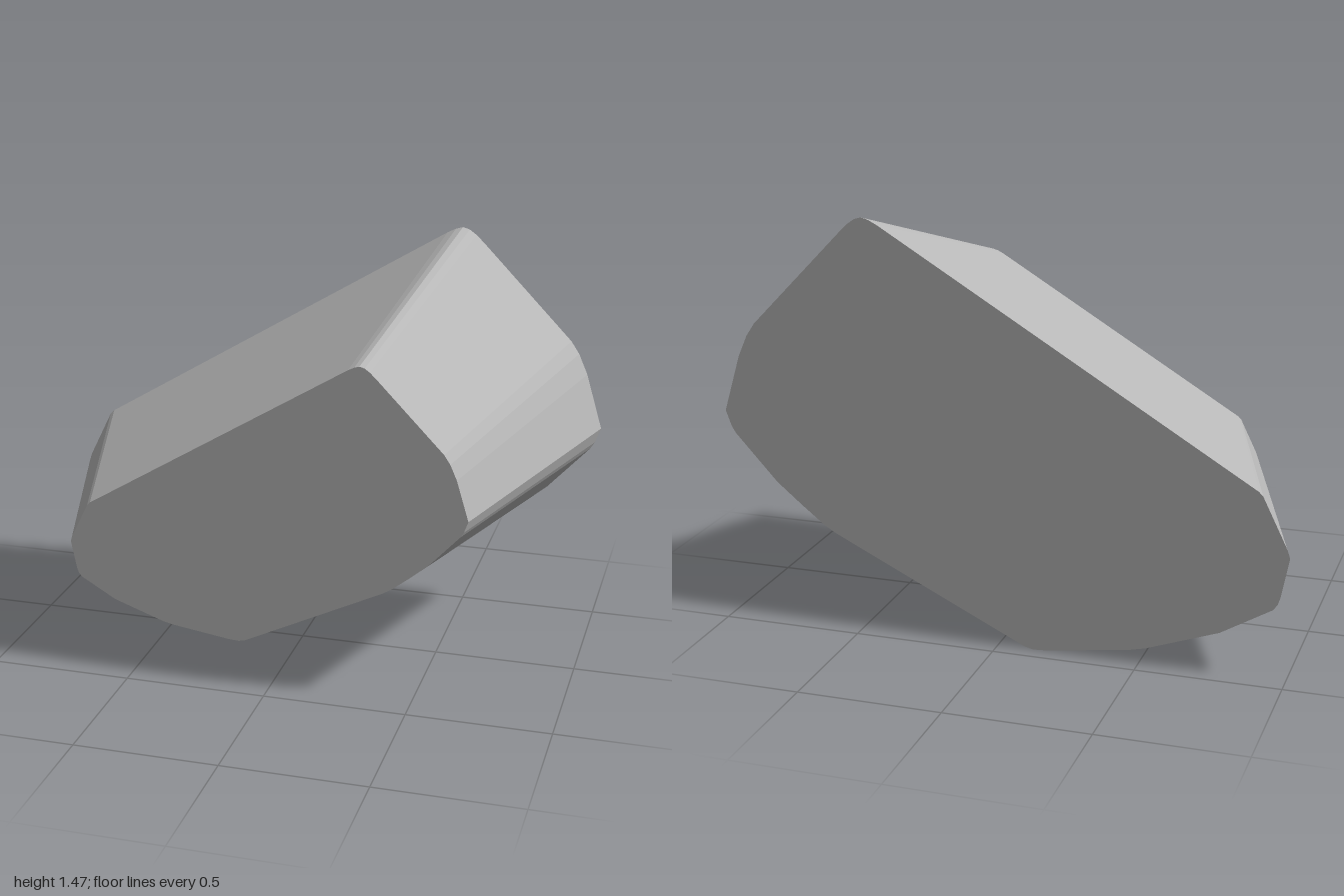
import * as THREE from 'three';

export function createModel() {
  const model = new THREE.Group();
  const grey = new THREE.MeshStandardMaterial({ color: 0xb8b8b8 });
  grey.name = 'plain grey';

  // Large back outline, counter-clockwise
  const outline = [
    [-0.128, 0], [-0.097, 0.007], [0.594, 0.342], [0.636, 0.367], [0.72, 0.433],
    [0.813, 0.51], [0.965, 0.675], [0.98, 0.7], [1, 0.755], [0.94, 0.955],
    [0.907, 1.03], [0.877, 1.075], [0.55, 1.413], [0.52, 1.442], [0.495, 1.46],
    [0.47, 1.467], [0.445, 1.46], [0.415, 1.445], [-0.87, 0.665], [-0.89, 0.653],
    [-0.905, 0.638], [-0.99, 0.465], [-1, 0.435], [-0.973, 0.295], [-0.965, 0.27],
    [-0.95, 0.25], [-0.775, 0.147], [-0.525, 0.058], [-0.47, 0.045], [-0.18, 0.003],
  ];
  const shape = new THREE.Shape(outline.map(([x, y]) => new THREE.Vector2(x, y)));

  // Extrude along z, then shrink the front end into a tapered block
  const depth = 0.886;
  const taper = 0.7;
  const geometry = new THREE.ExtrudeGeometry(shape, { depth, bevelEnabled: false });
  geometry.translate(0, 0, -depth / 2);
  const pos = geometry.attributes.position;
  for (let i = 0; i < pos.count; i++) {
    if (pos.getZ(i) > 0) {
      pos.setX(i, pos.getX(i) * taper - 0.015);
      pos.setY(i, pos.getY(i) * taper + 0.17);
    }
  }
  geometry.computeVertexNormals();

  const block = new THREE.Mesh(geometry, grey);
  block.name = 'taperedBlock';
  model.add(block);
  return model;
}
